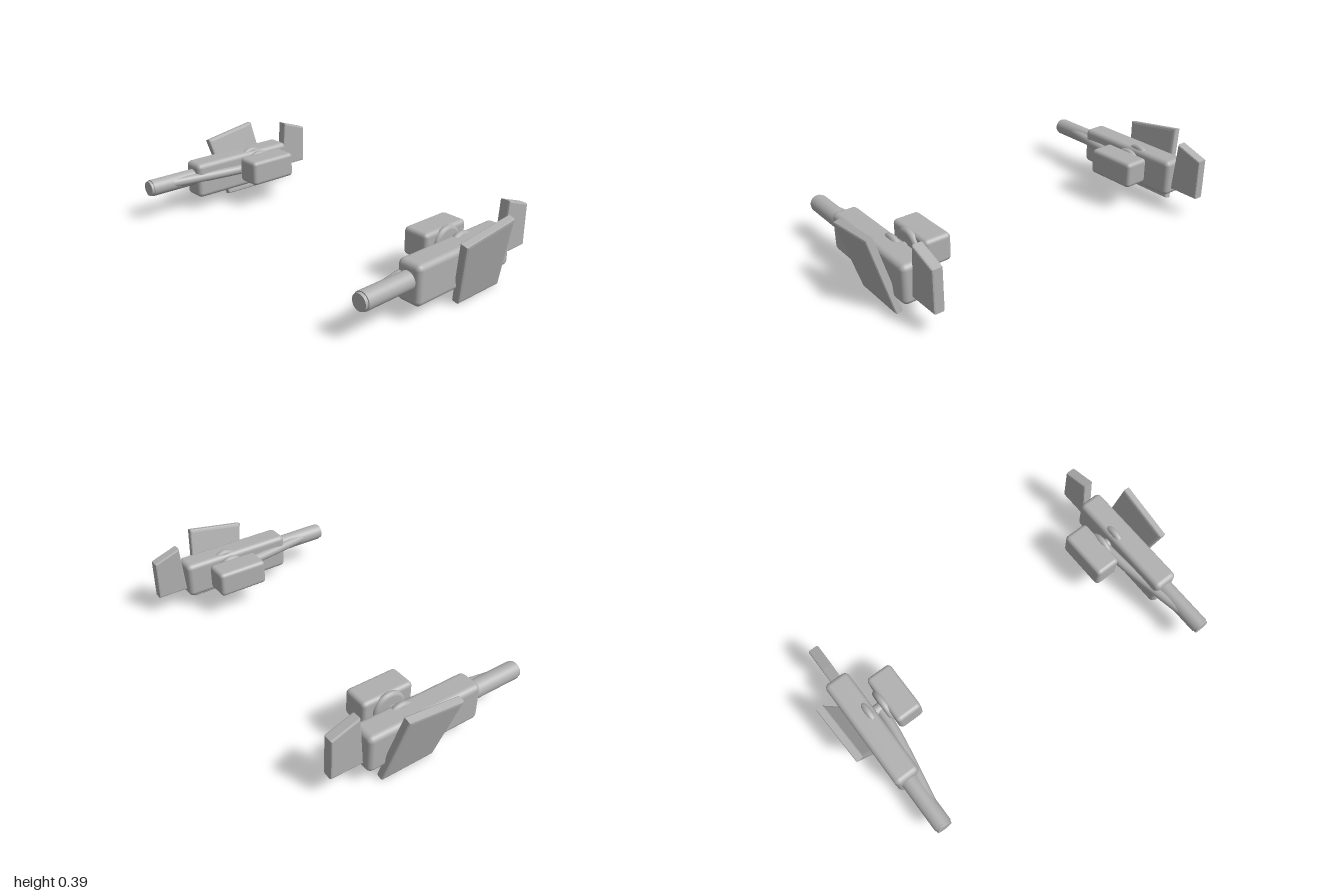
import * as THREE from 'three';
import { RoundedBoxGeometry } from 'three/addons/geometries/RoundedBoxGeometry.js';

const grey = new THREE.MeshStandardMaterial({ color: 0xb0b0b0 });
grey.name = 'grey metal';

function add(parent, name, geometry, x = 0, y = 0, z = 0) {
  const mesh = new THREE.Mesh(geometry, grey);
  mesh.name = name;
  mesh.position.set(x, y, z);
  parent.add(mesh);
  return mesh;
}

// Bevelled plate from a (z, y) outline, with its thickness centred along x
function plate(points, thickness, bevel, depthBevel) {
  const shape = new THREE.Shape(points.map(([z, y]) => new THREE.Vector2(z, y)));
  const depth = thickness - 2 * depthBevel;
  const geometry = new THREE.ExtrudeGeometry(shape, {
    depth, bevelEnabled: true, bevelSize: bevel, bevelOffset: -bevel,
    bevelThickness: depthBevel, bevelSegments: 2,
  });
  return geometry.translate(0, 0, -depth / 2).rotateY(-Math.PI / 2);
}

// Disc with a rounded rim and its axis along x
function roundedDisc(radius, width) {
  const h = width / 2;
  const points = [new THREE.Vector2(0, -h)];
  for (let i = 0; i <= 6; i++) {
    const a = -Math.PI / 2 + (i / 6) * Math.PI;
    points.push(new THREE.Vector2(radius - h + h * Math.cos(a), h * Math.sin(a)));
  }
  points.push(new THREE.Vector2(0, h));
  return new THREE.LatheGeometry(points, 28).rotateZ(Math.PI / 2);
}

function createBlaster(s, name) {
  const g = new THREE.Group();
  g.name = name;

  // Main body and barrel
  add(g, 'body', new RoundedBoxGeometry(0.135, 0.202, 0.641, 3, 0.028), s * 0.838, 0.176, -0.058);
  add(g, 'barrel', new THREE.CylinderGeometry(0.046, 0.046, 0.33, 28).rotateX(Math.PI / 2), s * 0.838, 0.193, 0.37);
  add(g, 'muzzle', new THREE.CylinderGeometry(0.041, 0.041, 0.05, 28).rotateX(Math.PI / 2), s * 0.838, 0.193, 0.525);

  // Upright fin behind the body
  add(g, 'tailFin', plate([[-0.378, 0.115], [-0.55, 0.115], [-0.55, 0.333], [-0.401, 0.385]], 0.056, 0.008, 0.008), s * 0.838);

  // Outer panel, leaning outward at the top
  const panel = add(g, 'sidePanel',
    plate([[0.065, 0.148], [-0.009, -0.197], [-0.304, -0.197], [-0.254, 0.197]], 0.042, 0.016, 0.006),
    s * 0.935, 0.196, 0);
  panel.rotation.z = -s * 0.238;

  // Inner pod and its rotating joint
  add(g, 'pod', new RoundedBoxGeometry(0.142, 0.142, 0.285, 3, 0.022), s * 0.648, 0.213, -0.13);
  for (const x of [0.72, 0.804]) {
    add(g, 'jointDisc', roundedDisc(0.089, 0.036), s * x, 0.205, -0.13);
  }
  add(g, 'axle', new THREE.CylinderGeometry(0.03, 0.03, 0.12, 20).rotateZ(Math.PI / 2), s * 0.74, 0.2, -0.13);

  // Strut running from the joint to the barrel
  const path = new THREE.CatmullRomCurve3([
    [0.744, -0.13], [0.752, 0], [0.775, 0.16], [0.806, 0.34], [0.824, 0.44],
  ].map(([x, z]) => new THREE.Vector3(s * x, 0.197, z)));
  add(g, 'strut', new THREE.TubeGeometry(path, 20, 0.027, 14, false));
  return g;
}

export function createModel() {
  const model = new THREE.Group();
  model.name = 'twinBlasters';
  model.add(createBlaster(1, 'leftBlaster'), createBlaster(-1, 'rightBlaster'));
  return model;
}
